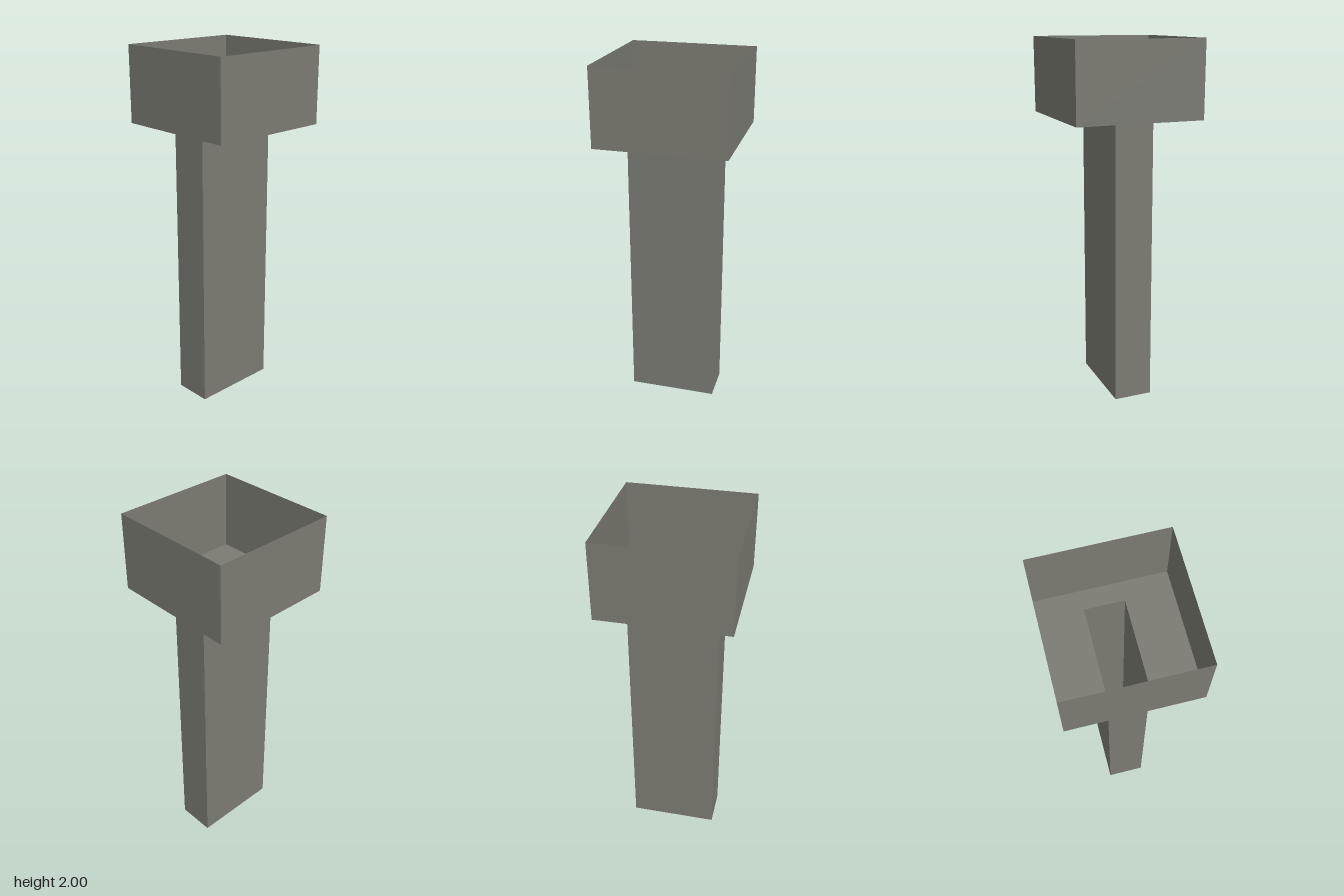
import * as THREE from 'three';

const sheetMetal = new THREE.MeshStandardMaterial({ color: 0x7b7b73, side: THREE.DoubleSide });
sheetMetal.name = 'grey sheet metal';

// Outer collar and narrow duct, seen from above
const collar = { x0: -0.354, x1: 0.354, z0: -0.354, z1: 0.354 };
const duct = { x0: -0.248, x1: 0.246, z0: -0.112, z1: 0.102 };
const shelfY = 1.58, topY = 2;

// Rectangular sleeve of thin sheet, open at top and bottom
function sleeve(name, r, y0, y1) {
  const geometry = new THREE.BoxGeometry(r.x1 - r.x0, y1 - y0, r.z1 - r.z0);
  const index = Array.from(geometry.index.array);
  index.splice(12, 12); // drop the top and bottom faces
  geometry.setIndex(index);
  geometry.clearGroups();
  geometry.translate((r.x0 + r.x1) / 2, (y0 + y1) / 2, (r.z0 + r.z1) / 2);
  const mesh = new THREE.Mesh(geometry, sheetMetal);
  mesh.name = name;
  return mesh;
}

// Corners of a rectangle; shape y becomes -z once laid flat
const corners = (r) => [
  new THREE.Vector2(r.x0, -r.z1), new THREE.Vector2(r.x1, -r.z1),
  new THREE.Vector2(r.x1, -r.z0), new THREE.Vector2(r.x0, -r.z0),
];

export function createModel() {
  const group = new THREE.Group();
  group.name = 'squareHopperChute';
  group.add(sleeve('hopperWalls', collar, shelfY, topY));
  group.add(sleeve('chute', duct, 0, shelfY));

  // Flat hopper floor, cut through over the chute
  const shape = new THREE.Shape(corners(collar));
  shape.holes.push(new THREE.Path(corners(duct).reverse()));
  const floor = new THREE.Mesh(new THREE.ShapeGeometry(shape), sheetMetal);
  floor.name = 'hopperFloor';
  floor.rotation.x = -Math.PI / 2;
  floor.position.y = shelfY;
  group.add(floor);
  return group;
}
